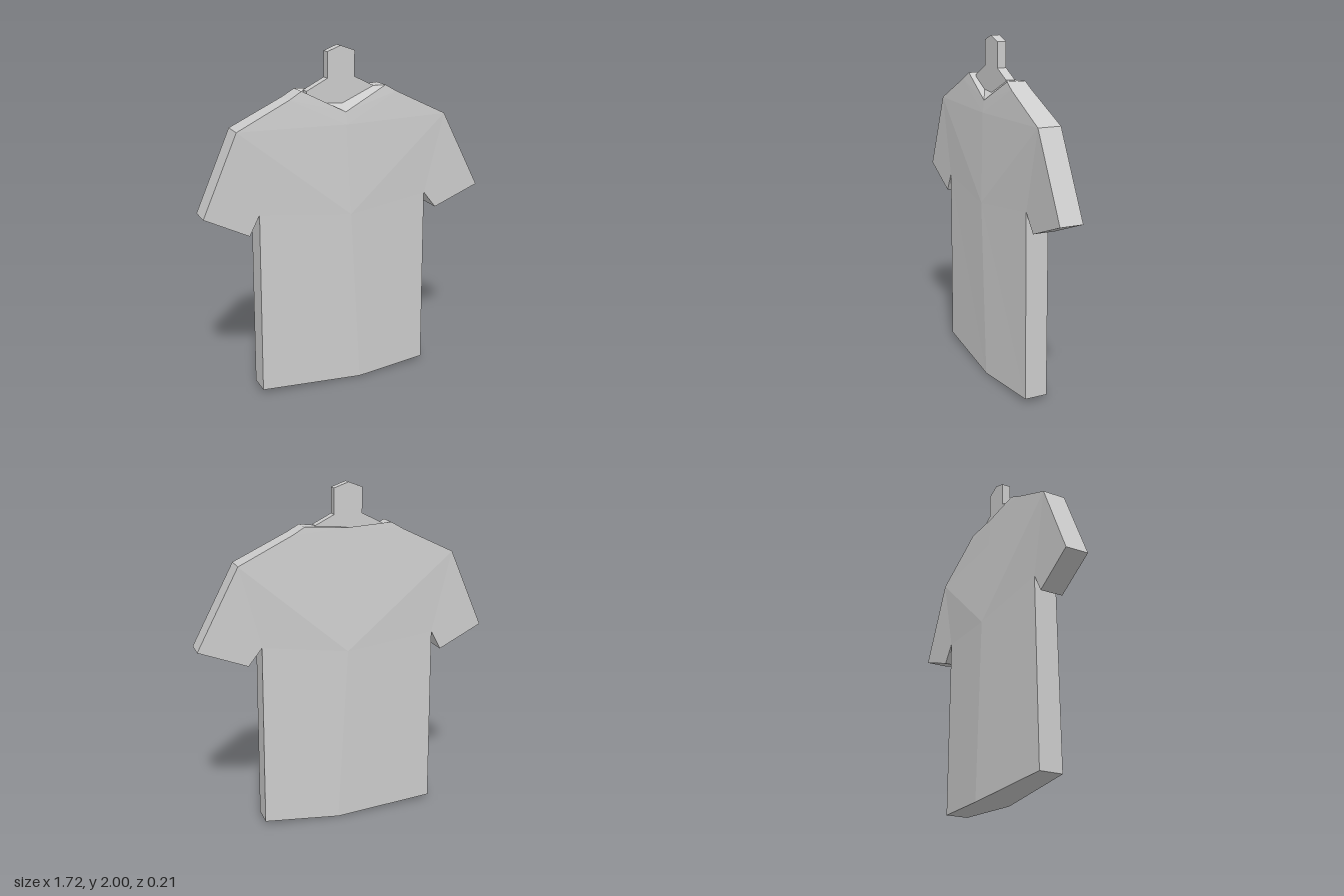
import * as THREE from 'three';

// Outline of the shirt, counter-clockwise from the neck: x, y, front z, back z
const OUTLINE = [
  [-0.02, 1.64, 0.075, -0.058], // neck
  [-0.275, 1.77, 0.055, -0.055], // collar
  [-0.35, 1.727, 0.06, -0.058],
  [-0.655, 1.58, 0.068, -0.066], // shoulder
  [-0.858, 1.12, 0.068, -0.066], // cuff
  [-0.6, 0.99, 0.068, -0.066],
  [-0.54, 1.105, 0.068, -0.066], // armpit
  [-0.55, 0.025, 0.068, -0.066], // hem
  [0.06, 0, 0.104, -0.104],
  [0.505, 0.025, 0.068, -0.066],
  [0.495, 1.11, 0.068, -0.066], // armpit
  [0.575, 1.01, 0.068, -0.066], // cuff
  [0.858, 1.12, 0.068, -0.066],
  [0.615, 1.58, 0.068, -0.066], // shoulder
  [0.3, 1.732, 0.06, -0.058],
  [0.235, 1.77, 0.055, -0.055], // collar
];
// Points on the centre line of the chest: 16 and 17
const CENTRE = [
  [-0.02, 1.57, 0.083, -0.07],
  [0, 1.05, 0.104, -0.106],
];
const BACK_NECK_Y = 1.755;

// Triangles of the front panel; the back panel uses them reversed
const PANEL = [
  [0, 1, 2], [0, 2, 16], [2, 3, 16], // yoke
  [16, 13, 14], [16, 14, 0], [0, 14, 15],
  [3, 4, 5], [3, 5, 6], [10, 11, 13], [11, 12, 13], // sleeves
  [3, 6, 17], [3, 17, 16], [17, 10, 13], [17, 13, 16], // chest
  [6, 7, 8], [6, 8, 17], [17, 8, 9], [17, 9, 10], // body
];

function shirtGeometry() {
  const points = [...OUTLINE, ...CENTRE];
  const front = points.map(([x, y, z]) => [x, y, z]);
  const back = points.map(([x, y, , z], i) => [x, i === 0 ? BACK_NECK_Y : y, z]);
  const positions = [];
  const tri = (a, b, c) => positions.push(...a, ...b, ...c);
  for (const [a, b, c] of PANEL) {
    tri(front[a], front[b], front[c]);
    tri(back[a], back[c], back[b]);
  }
  // Edge walls, including the sloping neck opening
  const n = OUTLINE.length;
  for (let i = 0; i < n; i++) {
    const j = (i + 1) % n;
    tri(front[i], back[i], back[j]);
    tri(front[i], back[j], front[j]);
  }
  const geometry = new THREE.BufferGeometry();
  geometry.setAttribute('position', new THREE.Float32BufferAttribute(positions, 3));
  geometry.computeVertexNormals();
  return geometry;
}

function hangerGeometry() {
  const shape = new THREE.Shape([
    [-0.02, 1.62], [0.165, 1.74], [0.165, 1.77], [0.055, 1.825], [0.055, 1.97],
    [-0.03, 2], [-0.11, 1.97], [-0.11, 1.825], [-0.235, 1.762], [-0.235, 1.745],
  ].map(([x, y]) => new THREE.Vector2(x, y)));
  const depth = 0.054;
  return new THREE.ExtrudeGeometry(shape, { depth, bevelEnabled: false })
    .translate(0, 0, -depth / 2);
}

export function createModel() {
  const group = new THREE.Group();
  group.name = 'shirtOnHanger';
  const grey = new THREE.MeshStandardMaterial({ color: 0xcccccc });
  grey.name = 'light grey';

  const shirt = new THREE.Mesh(shirtGeometry(), grey);
  shirt.name = 'shirt';
  const hanger = new THREE.Mesh(hangerGeometry(), grey);
  hanger.name = 'hanger';
  group.add(shirt, hanger);
  return group;
}
